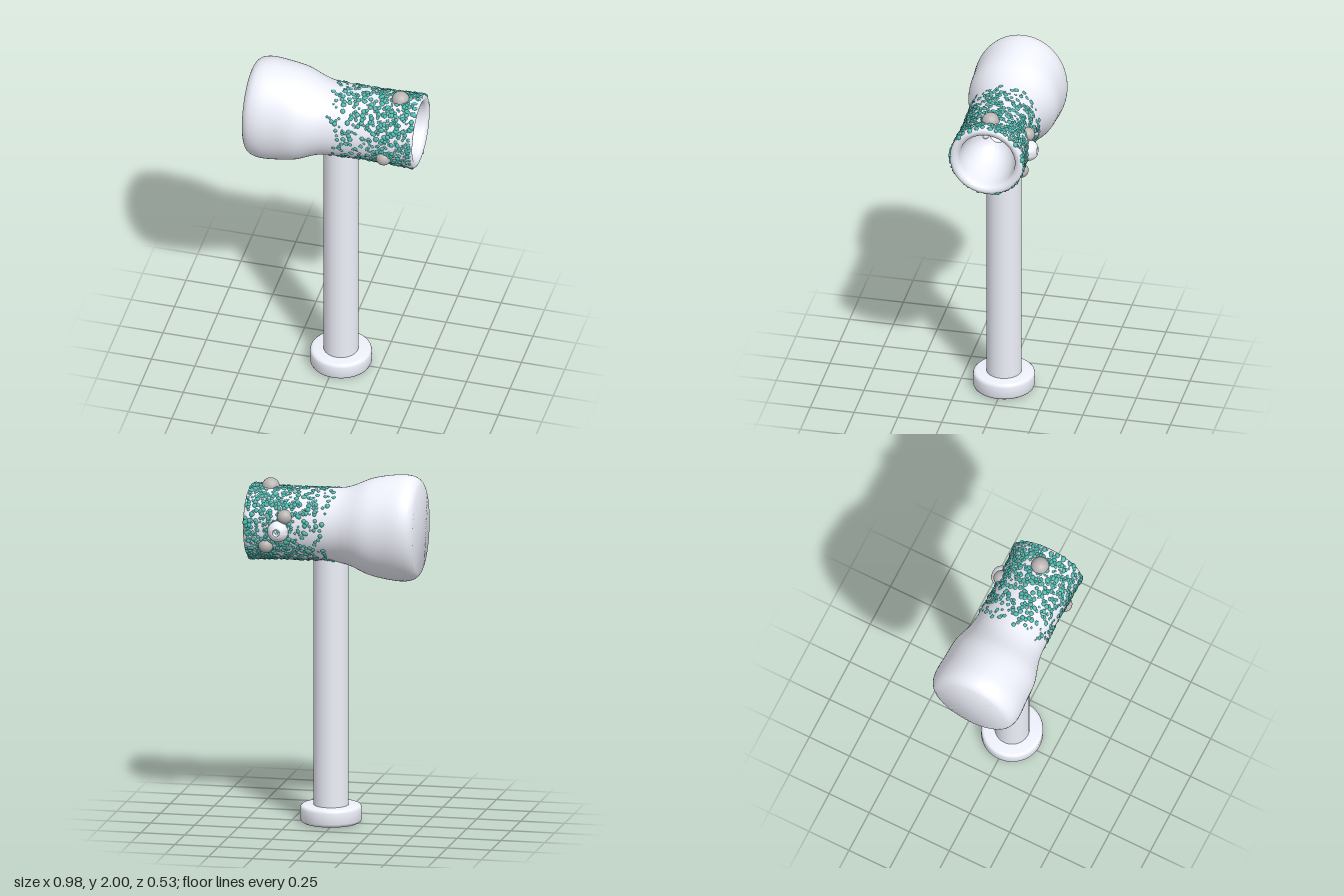
import * as THREE from 'three';
import { mergeGeometries, toCreasedNormals } from 'three/addons/utils/BufferGeometryUtils.js';

const pale = new THREE.MeshStandardMaterial({ color: 0xeef0fa });
const stone = new THREE.MeshStandardMaterial({ color: 0xb9b6b4 });
const teal = new THREE.MeshStandardMaterial({ color: 0x4cbab0 });

const AXIS_Y = 1.7;

// Outer head profile, as axial position and radius.
const outer = new THREE.SplineCurve([
  [-0.488, 0.245], [-0.475, 0.27], [-0.445, 0.291], [-0.39, 0.3], [-0.3, 0.292], [-0.2, 0.27],
  [-0.1, 0.227], [-0.03, 0.21], [0.08, 0.205], [0.22, 0.202], [0.36, 0.205], [0.465, 0.211],
].map(([x, r]) => new THREE.Vector2(x, r))).getPoints(66);

// Rounded rim, bowl and the small socket at its bottom.
const bore = new THREE.SplineCurve([
  [0.465, 0.211], [0.48, 0.205], [0.486, 0.19], [0.48, 0.173], [0.46, 0.16],
  [0.38, 0.15], [0.29, 0.128], [0.22, 0.09], [0.185, 0.043],
].map(([x, r]) => new THREE.Vector2(x, r))).getPoints(36).slice(1);

function lathe(points, segments = 64) {
  return new THREE.LatheGeometry(points.map(([r, y]) => new THREE.Vector2(r, y)), segments);
}

function addMesh(parent, name, geometry, material = pale) {
  const mesh = new THREE.Mesh(geometry, material);
  mesh.name = name;
  parent.add(mesh);
  return mesh;
}

function headGeometry() {
  const profile = [[0, -0.488], ...[...outer, ...bore].map((p) => [p.y, p.x]), [0.04, 0.14], [0, 0.14]];
  const geo = lathe(profile, 72).rotateZ(-Math.PI / 2);
  // The heavy end is oval, narrowing in z.
  const pos = geo.attributes.position;
  for (let i = 0; i < pos.count; i++) {
    const t = THREE.MathUtils.smoothstep(pos.getX(i), -0.34, -0.06);
    pos.setZ(i, pos.getZ(i) * THREE.MathUtils.lerp(0.88, 1, t));
  }
  return toCreasedNormals(geo, 0.6);
}

function seeded(seed) {
  return () => {
    seed = (seed * 16807) % 2147483647;
    return seed / 2147483647;
  };
}

// Radius of the outer head surface at x.
function radiusAt(x) {
  const i = Math.max(1, outer.findIndex((p) => p.x >= x));
  const a = outer[i - 1], b = outer[i];
  return THREE.MathUtils.mapLinear(x, a.x, b.x, a.y, b.y);
}

// Beads scattered round the barrel, denser towards the open end.
function beadGeometry() {
  const random = seeded(4127);
  const beads = [];
  for (let i = 0; i < 1350; i++) {
    const x = -0.03 + 0.503 * Math.pow(random(), 0.58);
    const angle = random() * Math.PI * 2;
    const size = 0.007 + 0.01 * random();
    const r = radiusAt(Math.min(x, 0.464)) - size * 0.5;
    const bead = new THREE.IcosahedronGeometry(size, 1);
    bead.translate(x, Math.cos(angle) * r, Math.sin(angle) * r);
    beads.push(bead);
  }
  return mergeGeometries(beads);
}

export function createModel() {
  const model = new THREE.Group();
  model.name = 'mallet';

  // Handle
  addMesh(model, 'handle', new THREE.CylinderGeometry(0.098, 0.098, 1.46, 48, 1, true))
    .position.set(0.026, 0.82, 0);

  // Foot disc with a dished underside and a central socket
  const foot = lathe([
    [0, 0.08], [0.05, 0.08], [0.05, 0.042], [0.08, 0.025], [0.115, 0.006], [0.13, 0.001],
    [0.145, 0], [0.158, 0.003], [0.168, 0.01], [0.173, 0.022], [0.173, 0.082],
    [0.17, 0.093], [0.163, 0.1], [0.153, 0.102], [0, 0.102],
  ]);
  addMesh(model, 'foot', toCreasedNormals(foot, 0.6)).position.x = 0.026;

  // Head
  const head = new THREE.Group();
  head.name = 'head';
  head.position.y = AXIS_Y;
  model.add(head);
  addMesh(head, 'headBody', headGeometry());
  addMesh(head, 'beads', beadGeometry(), teal);

  // Small nubs beside the socket inside the bowl
  for (const side of [-1, 1]) {
    addMesh(head, 'bowlNub', new THREE.SphereGeometry(0.02, 16, 12)).position.set(0.195, 0, side * 0.068);
  }

  // Round studs on the barrel
  const studs = [
    [0.37, 0.2, 0, 0.05],
    [0.32, -0.083, 0.178, 0.044],
    [0.25, 0.07, -0.183, 0.042],
    [0.36, -0.1, -0.172, 0.042],
  ];
  for (const [x, y, z, r] of studs) {
    addMesh(head, 'stud', new THREE.SphereGeometry(r, 32, 20), stone).position.set(x, y, z);
  }

  // Domed button with a hole, on the back
  const dome = [];
  for (let i = 0; i <= 8; i++) {
    const a = (i / 8) * 1.12;
    dome.push([0.06 * Math.cos(a), 0.06 * Math.sin(a)]);
  }
  const button = lathe([[0.06, -0.03], ...dome, [0.02, 0.054], [0.02, 0.01], [0, 0.01]], 40);
  const eyelet = addMesh(head, 'holedButton', toCreasedNormals(button, 0.6));
  eyelet.rotation.x = -Math.PI / 2;
  eyelet.position.set(0.285, -0.01, -0.195);

  return model;
}
